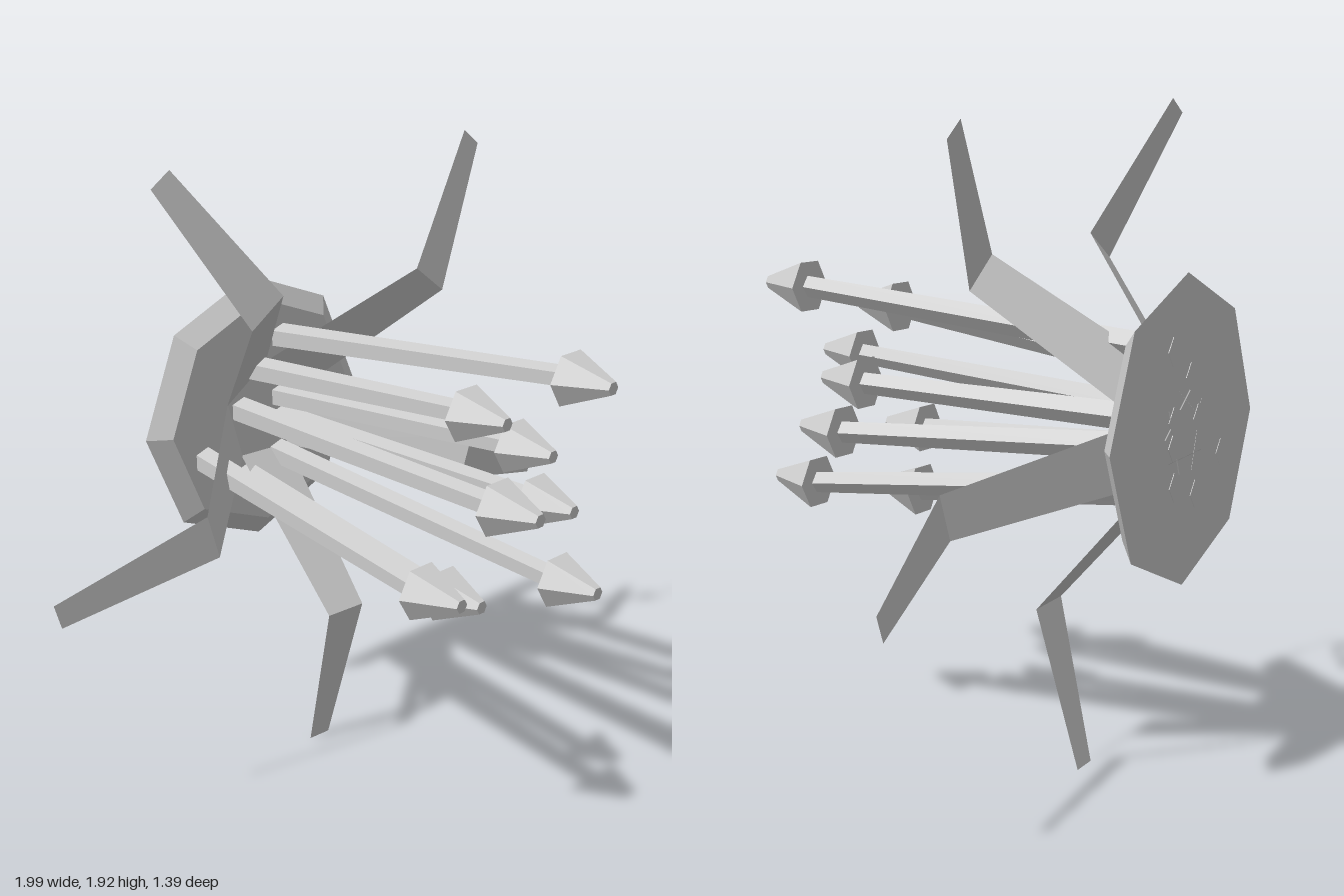
import * as THREE from 'three';

const CX = 0.01, CY = 1.045, BACK = -0.695;

const solid = new THREE.MeshStandardMaterial({ color: 0xcccccc, flatShading: true });
const thin = new THREE.MeshStandardMaterial({ color: 0xcccccc, flatShading: true, side: THREE.DoubleSide });

// Tapered prism between two points, its end faces staying parallel to the xy plane
function prism(name, from, to, rFrom, rTo, sides) {
  const len = to[2] - from[2];
  const geo = new THREE.CylinderGeometry(rTo, rFrom, len, sides, 1, false, Math.PI / 2);
  geo.rotateX(Math.PI / 2);
  geo.translate(0, 0, len / 2);
  const shear = new THREE.Matrix4().set(
    1, 0, (to[0] - from[0]) / len, from[0],
    0, 1, (to[1] - from[1]) / len, from[1],
    0, 0, 1, from[2],
    0, 0, 0, 1);
  geo.applyMatrix4(shear);
  const mesh = new THREE.Mesh(geo, solid);
  mesh.name = name;
  return mesh;
}

// Thin folded strip leaning forward, then bending back: [radius, z, half width]
function petal(angle) {
  const rows = [[0.07, BACK - 0.002, 0.1], [0.555, -0.26, 0.071], [1.037, -0.372, 0.039]];
  const pos = [], index = [];
  for (const [r, z, w] of rows) pos.push(r, -w, z, r, w, z);
  for (let i = 0; i < rows.length - 1; i++) {
    const a = i * 2;
    index.push(a, a + 2, a + 3, a, a + 3, a + 1);
  }
  const geo = new THREE.BufferGeometry();
  geo.setAttribute('position', new THREE.Float32BufferAttribute(pos, 3));
  geo.setIndex(index);
  geo.computeVertexNormals();
  const mesh = new THREE.Mesh(geo, thin);
  mesh.name = 'petal';
  mesh.position.set(CX, CY, 0);
  mesh.rotation.z = angle;
  return mesh;
}

export function createModel() {
  const model = new THREE.Group();
  model.name = 'flower';

  // Octagonal bevelled disc at the back
  model.add(prism('disc', [CX, CY, BACK], [CX, CY, -0.645], 0.43, 0.365, 8));

  // Five petals evenly spread
  for (let i = 0; i < 5; i++) model.add(petal(THREE.MathUtils.degToRad(51.5 + 72 * i)));

  // Stamens: base x, base y, tip x, tip y, tip z
  const stamens = [
    [-0.03, 1.19, -0.105, 1.31, 0.47],
    [0.08, 1.27, 0.148, 1.385, 0.62],
    [-0.08, 1.07, -0.22, 1.135, 0.69],
    [0.07, 1.08, 0.18, 1.12, 0.395],
    [0.07, 1.01, 0.19, 0.97, 0.47],
    [-0.23, 0.95, -0.355, 0.89, 0.545],
    [-0.07, 0.86, -0.11, 0.75, 0.395],
    [0.06, 0.9, 0.12, 0.79, 0.62],
  ];
  for (const [bx, by, tx, ty, tz] of stamens) {
    const neck = tz - 0.15;
    const stamen = new THREE.Group();
    stamen.name = 'stamen';
    stamen.add(prism('stem', [bx, by, BACK - 0.002], [tx, ty, neck], 0.042, 0.033, 5));
    stamen.add(prism('stamenHead', [tx, ty, neck], [tx, ty + 0.005, tz], 0.083, 0.02, 6));
    model.add(stamen);
  }
  return model;
}
